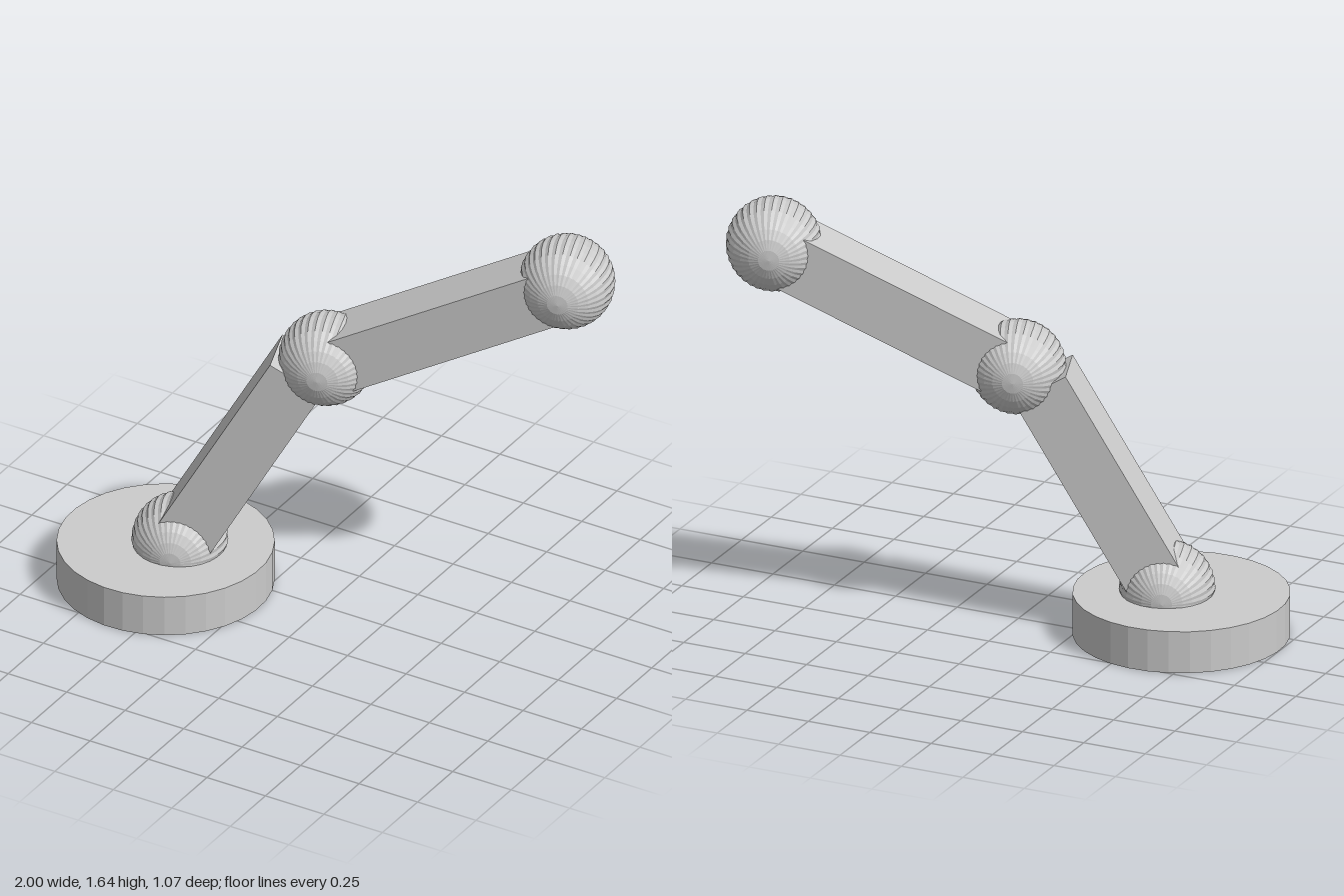
import * as THREE from 'three';

const material = new THREE.MeshStandardMaterial({ color: 0xcccccc, flatShading: true });

function addMesh(parent, name, geometry, x, y) {
  const mesh = new THREE.Mesh(geometry, material);
  mesh.name = name;
  mesh.position.set(x, y, 0);
  parent.add(mesh);
  return mesh;
}

// Ball with fine ribs running between two poles on the local z axis
function ribbedBall(radius, ribs) {
  const segments = ribs * 2;
  const geometry = new THREE.SphereGeometry(radius, segments, 14);
  const p = geometry.attributes.position;
  for (let i = 0; i < p.count; i++) {
    const k = i % (segments + 1);
    const s = k % 2 ? 0.975 : 1;
    p.setXYZ(i, p.getX(i) * s, p.getY(i), p.getZ(i) * s);
  }
  geometry.rotateX(Math.PI / 2);
  geometry.computeVertexNormals();
  return geometry;
}

// Square beam between two points in the plane of the arm
function addBeam(parent, name, [x0, y0], [x1, y1]) {
  const length = Math.hypot(x1 - x0, y1 - y0);
  const geometry = new THREE.BoxGeometry(length, 0.22, 0.222);
  const beam = addMesh(parent, name, geometry, (x0 + x1) / 2, (y0 + y1) / 2);
  beam.rotation.z = Math.atan2(y1 - y0, x1 - x0);
}

export function createModel() {
  const model = new THREE.Group();
  model.name = 'jointedArm';

  // The whole arm lies in one vertical plane, turned about the base
  const arm = new THREE.Group();
  arm.name = 'turntable';
  arm.position.set(-0.6, 0, 0.13);
  arm.rotation.y = THREE.MathUtils.degToRad(19.1);
  model.add(arm);

  addMesh(arm, 'base', new THREE.CylinderGeometry(0.4, 0.4, 0.163, 32), 0, 0.0835);

  // Joints
  const ball = ribbedBall(0.178, 36);
  addMesh(arm, 'shoulderJoint', ball, 0.053, 0.179);
  addMesh(arm, 'elbowJoint', ball, 0.603, 1.025);
  addMesh(arm, 'wristJoint', ball, 1.503, 1.468);

  // Beams
  addBeam(arm, 'lowerBeam', [0.002, 0.09], [0.51, 0.981]);
  addBeam(arm, 'upperBeam', [0.58, 1.014], [1.445, 1.439]);

  return model;
}
